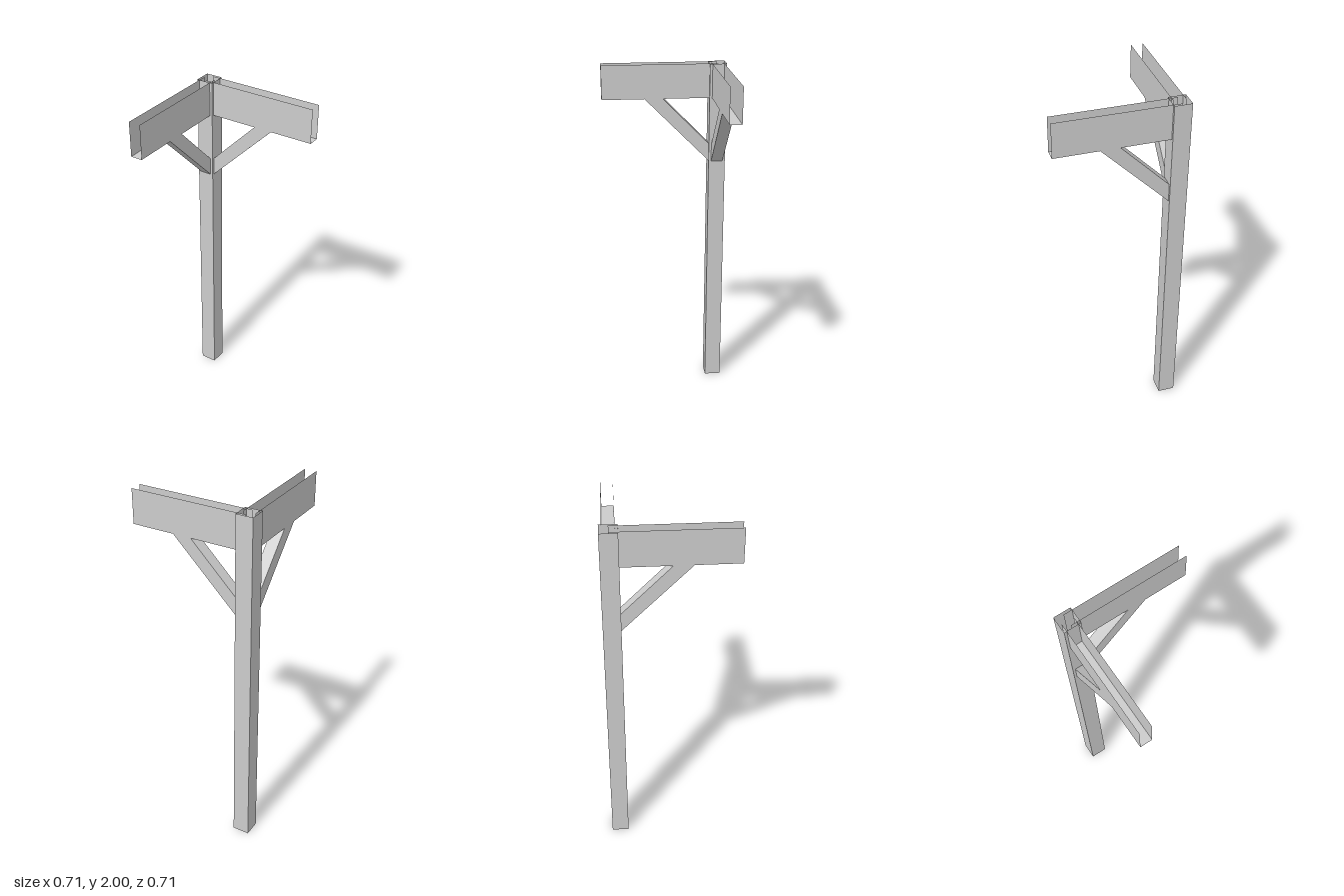
import * as THREE from 'three';

const material = new THREE.MeshStandardMaterial({
  color: 0xcccccc, flatShading: true, side: THREE.DoubleSide,
});

// Thin skin joining two matching rings of [x, y, z] corners, open at both ends.
function skin(name, ringA, ringB, closed) {
  const positions = [];
  const n = ringA.length;
  for (let i = 0; i < (closed ? n : n - 1); i++) {
    const j = (i + 1) % n;
    positions.push(...ringA[i], ...ringA[j], ...ringB[j]);
    positions.push(...ringA[i], ...ringB[j], ...ringB[i]);
  }
  const geometry = new THREE.BufferGeometry();
  geometry.setAttribute('position', new THREE.Float32BufferAttribute(positions, 3));
  geometry.computeVertexNormals();
  const mesh = new THREE.Mesh(geometry, material);
  mesh.name = name;
  return mesh;
}

const HEIGHT = 2;
const CORNER = -0.309;    // post axis in x and z
const POST = 0.048;       // half width of the post
const ARM = 0.0335;       // half width of beams and braces
const BEAM_LENGTH = 0.666;
const BEAM_BOTTOM = 1.804;

// Cross-section of an arm part at two heights, each with its own reach.
const section = (topX, topY, bottomX, bottomY) => [
  [topX, topY, ARM], [bottomX, bottomY, ARM],
  [bottomX, bottomY, -ARM], [topX, topY, -ARM],
];

// Beam channel, open on top, with a diagonal brace below it.
function createArm(name) {
  const arm = new THREE.Group();
  arm.name = name;
  arm.add(skin('beam',
    section(0, HEIGHT, 0, BEAM_BOTTOM),
    section(BEAM_LENGTH, HEIGHT, BEAM_LENGTH, BEAM_BOTTOM), false));
  arm.add(skin('brace',
    section(POST, 1.534, POST, 1.431),
    section(0.316, BEAM_BOTTOM, 0.421, BEAM_BOTTOM), true));
  return arm;
}

export function createModel() {
  const model = new THREE.Group();
  model.name = 'cornerPost';
  const frame = new THREE.Group();
  frame.name = 'frame';
  frame.position.set(CORNER, 0, CORNER);
  model.add(frame);

  // Hollow square post
  const square = (y) => [
    [-POST, y, POST], [POST, y, POST], [POST, y, -POST], [-POST, y, -POST],
  ];
  frame.add(skin('post', square(0), square(HEIGHT), true));

  // Two arms at a right angle
  const sideArm = createArm('sideArm');
  const frontArm = createArm('frontArm');
  frontArm.rotation.y = -Math.PI / 2;
  frame.add(sideArm, frontArm);
  return model;
}
